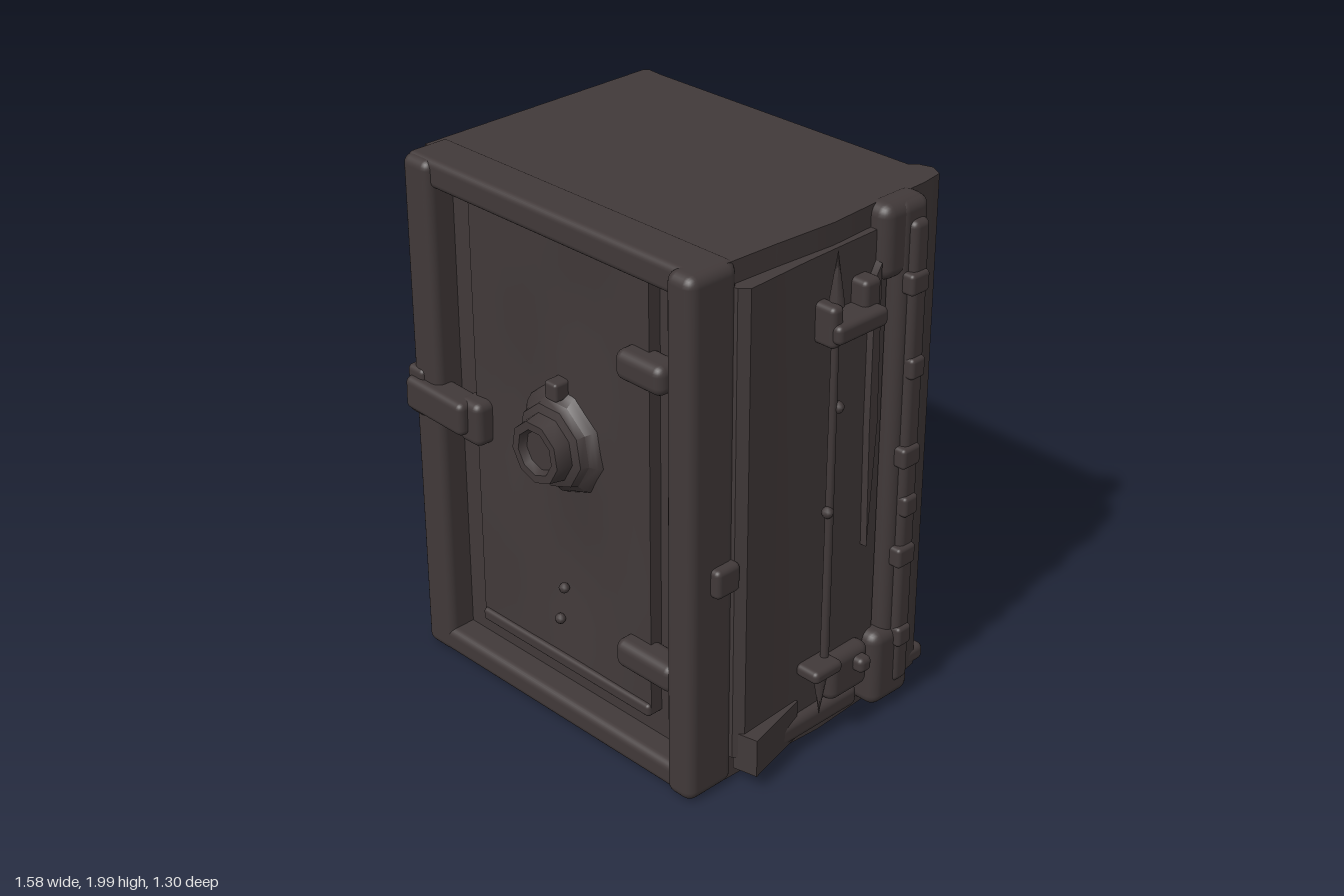
import * as THREE from 'three';
import { RoundedBoxGeometry } from 'three/addons/geometries/RoundedBoxGeometry.js';
import { toCreasedNormals } from 'three/addons/utils/BufferGeometryUtils.js';

export function createModel() {
  const safe = new THREE.Group();
  safe.name = 'safe';
  const iron = new THREE.MeshStandardMaterial({ color: 0x413939, side: THREE.DoubleSide });
  iron.name = 'dark iron';

  const add = (name, geometry, x = 0, y = 0, z = 0, parent = safe) => {
    const mesh = new THREE.Mesh(geometry, iron);
    mesh.name = name;
    mesh.position.set(x, y, z);
    parent.add(mesh);
    return mesh;
  };
  // Box given by its limits, with rounded edges
  const block = (name, [x0, x1], [y0, y1], [z0, z1], r, parent = safe) =>
    add(name, new RoundedBoxGeometry(x1 - x0, y1 - y0, z1 - z0, 3, r),
      (x0 + x1) / 2, (y0 + y1) / 2, (z0 + z1) / 2, parent);
  const outline = (points) => new THREE.Shape(points.map(([x, y]) => new THREE.Vector2(x, y)));
  // Upright prism from a floor plan of [x, z] points
  const prism = (name, plan, y0, y1, parent = safe) => {
    const g = new THREE.ExtrudeGeometry(outline(plan.map(([x, z]) => [x, -z])),
      { depth: y1 - y0, bevelEnabled: false });
    g.rotateX(-Math.PI / 2);
    return add(name, toCreasedNormals(g, 0.6), 0, y0, 0, parent);
  };

  // Cabinet, slightly skewed in plan, with a heavy post at the back corner
  prism('cabinet', [[-0.765, -0.56], [-0.75, -0.575], [-0.68, -0.57], [0.52, -0.58], [0.61, -0.57],
    [0.64, -0.3], [0.655, -0.05], [0.64, 0.2], [0.63, 0.47], [-0.77, 0.47]], 0.01, 1.99);
  prism('backCornerPost', [[0.5, -0.575], [0.53, -0.605], [0.58, -0.62], [0.63, -0.595],
    [0.645, -0.5], [0.65, -0.3], [0.5, -0.3]], 0.02, 1.99);
  block('backCornerFoot', [0.53, 0.635], [0.02, 0.09], [-0.65, -0.54], 0.025);

  // Raised, rounded frame around the doorway
  const frame = new THREE.Group();
  frame.name = 'doorFrame';
  safe.add(frame);
  block('frameLeft', [-0.77, -0.63], [0.01, 1.99], [0.38, 0.58], 0.035, frame);
  block('frameRight', [0.53, 0.655], [0.01, 1.995], [0.38, 0.595], 0.04, frame);
  block('frameTop', [-0.765, 0.64], [1.89, 1.995], [0.38, 0.56], 0.025, frame);
  block('frameBottom', [-0.765, 0.64], [0.01, 0.11], [0.38, 0.575], 0.03, frame);

  // Door with a buckled front that sinks towards the middle
  const door = new THREE.BoxGeometry(0.88, 1.66, 0.08, 10, 16, 1);
  const p = door.attributes.position;
  for (let i = 0; i < p.count; i++) {
    const x = p.getX(i), y = p.getY(i);
    if (p.getZ(i) < 0) continue;
    const inside = Math.cos((x / 0.88) * Math.PI) * Math.cos((y / 1.66) * Math.PI);
    const dent = -0.02 + 0.015 * Math.sin(9 * x + 4 * y) + 0.012 * Math.cos(5 * y - 7 * x);
    p.setZ(i, 0.04 + inside * dent);
  }
  add('door', toCreasedNormals(door, 0.7), -0.05, 1.05, 0.48);
  block('doorBottomLip', [-0.49, 0.39], [0.21, 0.26], [0.46, 0.535], 0.015);

  // Combination dial: stepped nut with a hollow knob
  const dial = new THREE.Group();
  dial.name = 'dial';
  dial.position.set(-0.035, 1.14, 0.5);
  safe.add(dial);
  const profile = [[0.21, 0], [0.19, 0.035], [0.165, 0.05], [0.155, 0.08], [0.125, 0.09],
    [0.115, 0.15], [0.085, 0.15], [0.075, 0.12], [0, 0.12]];
  const knob = new THREE.LatheGeometry(profile.map(([r, h]) => new THREE.Vector2(r, h)), 9);
  knob.rotateX(Math.PI / 2);
  add('dialKnob', toCreasedNormals(knob, 0.75), 0, 0, 0, dial);
  block('dialMarker', [-0.03, 0.03], [0.17, 0.24], [0, 0.075], 0.012, dial);

  // Latch across the left frame, with its catch
  const latch = new THREE.Group();
  latch.name = 'latch';
  safe.add(latch);
  block('latchStrap', [-0.78, -0.47], [1.01, 1.14], [0.5, 0.615], 0.025, latch).rotation.z = -0.03;
  block('latchWrap', [-0.79, -0.7], [0.99, 1.18], [0.47, 0.59], 0.02, latch);
  block('latchCatch', [-0.53, -0.415], [0.97, 1.14], [0.48, 0.58], 0.03, latch);

  // Door hinges
  for (const [name, x, y, w] of [['upperHinge', 0.395, 1.575, 0.22], ['lowerHinge', 0.41, 0.455, 0.28]])
    block(name, [x - w / 2, x + w / 2], [y - 0.055, y + 0.055], [0.47, 0.585], 0.035);

  // Small rivets low on the door
  for (const [x, y] of [[-0.05, 0.54], [-0.075, 0.4]])
    add('rivet', new THREE.SphereGeometry(0.02, 8, 6), x, y, 0.52);

  // Side plate, with its front lower corner bent outwards
  const side = new THREE.Group();
  side.name = 'sideMechanism';
  safe.add(side);
  prism('sidePlate', [[0.6, 0.41], [0.665, 0.4], [0.695, 0.37], [0.69, 0.28], [0.68, 0.1],
    [0.675, -0.1], [0.67, -0.3], [0.6, -0.3]], 0.12, 1.91, side);
  prism('bentCorner', [[0.66, 0.39], [0.755, 0.37], [0.69, 0.1], [0.66, 0.1]], 0.07, 0.22, side);
  block('sidePlateFoot', [0.62, 0.71], [0.07, 0.16], [-0.2, 0.37], 0.03, side);
  block('frontStop', [0.62, 0.69], [0.81, 0.92], [0.39, 0.5], 0.02, side);

  // Heavy beam behind the plate: thick ends, a narrower middle and lugs
  block('sideBeam', [0.6, 0.72], [0.04, 1.99], [-0.455, -0.31], 0.04, side);
  block('beamTop', [0.6, 0.715], [1.72, 1.995], [-0.455, -0.24], 0.045, side);
  block('beamBottom', [0.6, 0.735], [0.03, 0.34], [-0.455, -0.25], 0.045, side);
  block('beamRidge', [0.68, 0.745], [0.1, 1.92], [-0.43, -0.35], 0.025, side);
  [0.3, 0.64, 0.84, 1.04, 1.38, 1.7].forEach((y, i) =>
    block('beamLug', [0.69, 0.76], [y - 0.04, y + 0.04], [-0.42, -0.35 + 0.02 * (i % 2)], 0.015, side));

  // Narrow blade between plate and beam
  const blade = new THREE.ExtrudeGeometry(
    outline([[0.21, 1.75], [0.24, 1.8], [0.25, 1.2], [0.22, 0.72], [0.21, 1.2]]),
    { depth: 0.04, bevelEnabled: false });
  blade.rotateY(Math.PI / 2);
  add('sideBlade', toCreasedNormals(blade, 0.6), 0.66, 0, 0, side);

  // Locking rod with pointed tips, joints and brackets
  add('rod', new THREE.CylinderGeometry(0.013, 0.016, 1.4, 8), 0.71, 1.03, -0.01, side);
  add('upperTip', new THREE.ConeGeometry(0.028, 0.2, 8), 0.715, 1.83, -0.005, side);
  add('lowerTip', new THREE.ConeGeometry(0.032, 0.2, 8), 0.715, 0.24, 0.015, side).rotation.x = Math.PI;
  for (const [y, z] of [[0.96, 0.005], [1.35, -0.03]])
    add('rodJoint', new THREE.SphereGeometry(0.022, 8, 6), 0.715, y, z, side);
  block('upperBracket', [0.66, 0.785], [1.62, 1.69], [-0.19, 0.05], 0.02, side);
  block('upperBracketEnd', [0.66, 0.76], [1.6, 1.75], [0, 0.055], 0.02, side);
  block('upperBracketBack', [0.66, 0.74], [1.66, 1.78], [-0.2, -0.12], 0.02, side);
  block('lowerBracket', [0.65, 0.73], [0.16, 0.34], [-0.23, -0.03], 0.035, side);
  block('lowerBracketPin', [0.68, 0.77], [0.25, 0.31], [-0.2, -0.14], 0.02, side);
  block('lowerClamp', [0.67, 0.775], [0.32, 0.37], [-0.04, 0.1], 0.02, side);

  return safe;
}
